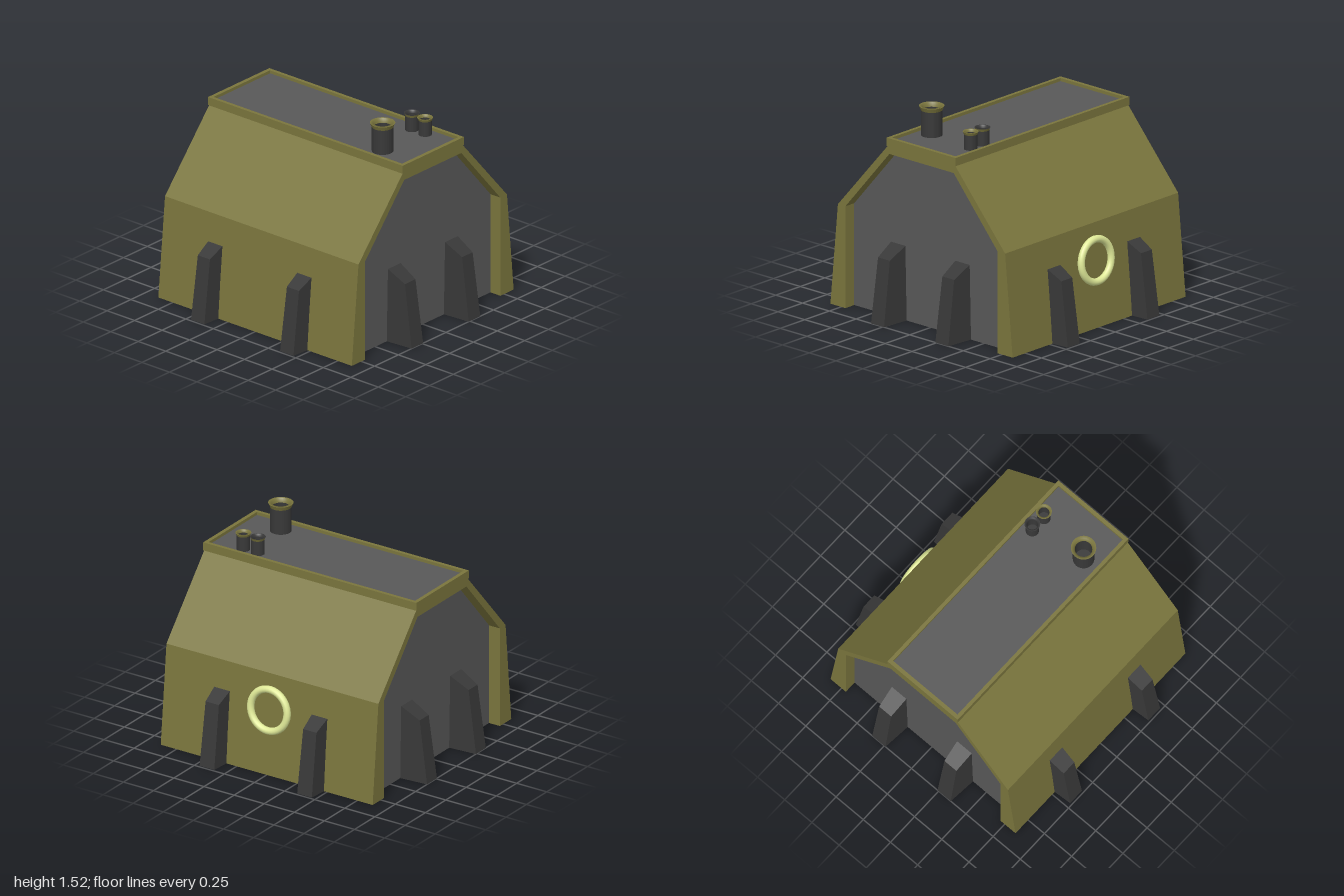
import * as THREE from 'three';

const mat = (color, extra = {}) => new THREE.MeshStandardMaterial({ color, ...extra });
const olive = mat(0x7a753d, { flatShading: true });
const oliveSmooth = mat(0x7a753d);
const grey = mat(0x585858, { side: THREE.DoubleSide });
const dark = mat(0x383838, { flatShading: true });
const darkSmooth = mat(0x383838, { side: THREE.DoubleSide });
const pale = mat(0xe0ea98);

function add(parent, name, geometry, material, x = 0, y = 0, z = 0) {
  const mesh = new THREE.Mesh(geometry, material);
  mesh.name = name;
  mesh.position.set(x, y, z);
  parent.add(mesh);
  return mesh;
}

const shapeOf = (pts) => new THREE.Shape(pts.map(([a, b]) => new THREE.Vector2(a, b)));
const rect = (w, d) => [[-w, -d], [w, -d], [w, d], [-w, d]];

// Tapered buttress: side profile in (outward, up), narrower toward the top and the outer face
function buttressGeometry(back) {
  const profile = [[back, 0], [1, 0], [0.935, 0.465], [0.79, 0.54], [back, 0.54]];
  const geo = new THREE.ExtrudeGeometry(shapeOf(profile), { depth: 2, bevelEnabled: false });
  geo.translate(0, 0, -1);
  const p = geo.attributes.position;
  for (let i = 0; i < p.count; i++) {
    const out = Math.max(0, (p.getX(i) - 0.79) / 0.21);
    const half = 0.081 - 0.02 * out - 0.026 * p.getY(i);
    p.setZ(i, Math.sign(p.getZ(i)) * half);
  }
  geo.computeVertexNormals();
  return geo;
}

// Exhaust stack: open pipe with a flared collar
function stack(x, z, r, top, collarTop) {
  const g = new THREE.Group();
  g.name = 'exhaustStack';
  g.position.set(x, 0, z);
  const base = 1.3, lip = 0.03 * (r / 0.075), inner = r * 0.8;
  const pipe = [[r, base], [r, top - lip], [inner, top - lip], [inner, base + 0.02], [0, base + 0.02]];
  const v = (list) => list.map(([a, b]) => new THREE.Vector2(a, b));
  const pipeMat = darkSmooth.clone();
  pipeMat.flatShading = true;
  add(g, 'pipe', new THREE.LatheGeometry(v(pipe), 28), pipeMat);
  const collarMat = olive.clone();
  collarMat.side = THREE.DoubleSide;
  add(g, 'collarSide', new THREE.LatheGeometry(v([[r, top - lip], [r * 1.17, top]]), 28), collarMat);
  add(g, 'collarTop', new THREE.LatheGeometry(
    v([[r * 1.17, top], [r * 0.9, top], [inner, top - lip]]), 28), collarTop);
  return g;
}

export function createModel() {
  const model = new THREE.Group();
  model.name = 'shelter';

  // Arched shell, open below and at both ends
  const shellShape = shapeOf([
    [0.85, 0], [0.78, 0.74], [0.315, 1.27], [-0.315, 1.27], [-0.78, 0.74], [-0.85, 0],
    [-0.71, 0], [-0.71, 0.74], [-0.3, 1.215], [0.3, 1.215], [0.71, 0.74], [0.71, 0]]);
  const shell = new THREE.ExtrudeGeometry(shellShape, { depth: 1.76, bevelEnabled: false });
  shell.translate(0, 0, -0.88).rotateY(Math.PI / 2);
  add(model, 'shell', shell, olive);

  // Recessed end walls
  const endShape = shapeOf([
    [0.71, 0], [0.71, 0.74], [0.3, 1.215], [-0.3, 1.215], [-0.71, 0.74], [-0.71, 0]]);
  for (const s of [1, -1]) {
    const wall = add(model, 'endWall', new THREE.ShapeGeometry(endShape), grey, s * 0.79);
    wall.rotation.y = s * Math.PI / 2;
  }

  // Roof curb with sunken panel
  const curbShape = shapeOf(rect(0.885, 0.322));
  curbShape.holes.push(shapeOf(rect(0.857, 0.296)));
  const curb = new THREE.ExtrudeGeometry(curbShape, { depth: 0.06, bevelEnabled: false });
  curb.rotateX(-Math.PI / 2);
  add(model, 'roofCurb', curb, olive, 0, 1.27, 0);
  add(model, 'roofPanel', new THREE.BoxGeometry(1.714, 0.04, 0.592), grey, 0, 1.288, 0);

  // Buttresses on all four sides
  const endGeo = buttressGeometry(0.77);
  const sideGeo = buttressGeometry(0.7);
  for (const s of [1, -1]) {
    for (const t of [1, -1]) {
      const end = add(model, 'endButtress', endGeo, dark, 0, 0, t * 0.3);
      end.rotation.y = s > 0 ? 0 : Math.PI;
      const side = add(model, 'sideButtress', sideGeo, dark, t * 0.405, 0, -s * 0.015);
      side.rotation.y = -s * Math.PI / 2;
    }
  }

  // Exhaust stacks
  const collarTop = oliveSmooth.clone();
  collarTop.side = THREE.DoubleSide;
  model.add(stack(0.58, 0.18, 0.075, 1.52, collarTop));
  model.add(stack(0.62, -0.22, 0.047, 1.435, collarTop));
  model.add(stack(0.5, -0.22, 0.047, 1.435, darkSmooth));

  // Port ring lying on the leaning back wall
  const ring = add(model, 'portRing', new THREE.TorusGeometry(0.151, 0.026, 12, 40), pale, 0, 0.48, -0.823);
  ring.rotation.x = Math.atan(0.07 / 0.74);
  return model;
}
